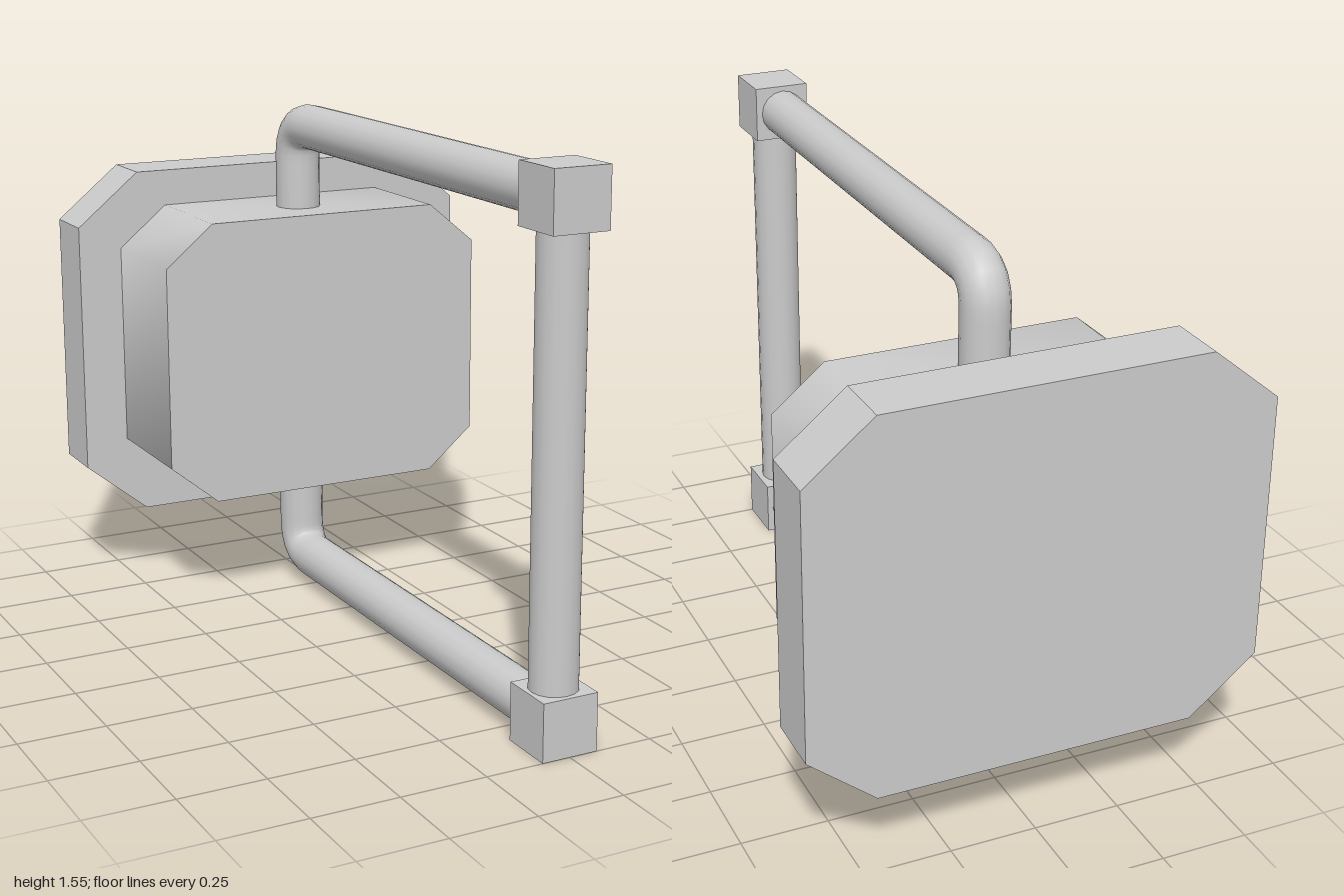
import * as THREE from 'three';
import { toCreasedNormals } from 'three/addons/utils/BufferGeometryUtils.js';

const MID_Y = 0.775;   // height of the mounting plates' centre
const ROD_R = 0.068;
const ROD_Z = 0.918;   // depth of the upright grip
const STEM_Z = -0.62;  // depth of the short stems entering the block

export function createModel() {
  const model = new THREE.Group();
  const material = new THREE.MeshStandardMaterial({ color: 0xcccccc });

  function add(name, geometry, x = 0, y = 0, z = 0) {
    const mesh = new THREE.Mesh(geometry, material);
    mesh.name = name;
    mesh.position.set(x, y, z);
    model.add(mesh);
    return mesh;
  }

  // Rectangle with cut corners, extruded along z
  function octagonSlab(w, h, cutX, cutY, depth) {
    const points = [
      [w, -h + cutY], [w, h - cutY], [w - cutX, h], [-w + cutX, h],
      [-w, h - cutY], [-w, -h + cutY], [-w + cutX, -h], [w - cutX, -h],
    ].map(([x, y]) => new THREE.Vector2(x, y));
    return new THREE.ExtrudeGeometry(new THREE.Shape(points), { depth, bevelEnabled: false });
  }

  // Back plate is faceted; the block in front of it has softened sides
  add('backPlate', octagonSlab(0.655, 0.545, 0.195, 0.16, 0.18), 0, MID_Y, -1);
  const block = octagonSlab(0.52, 0.433, 0.15, 0.125, 0.38);
  add('mountingBlock', toCreasedNormals(block, THREE.MathUtils.degToRad(55)), 0, MID_Y + 0.002, -0.82);

  // Upright grip between the corner cubes
  add('uprightRod', new THREE.CylinderGeometry(ROD_R, ROD_R, 1.3, 16), -0.003, MID_Y, ROD_Z);

  // Upper and lower arms, each bent towards the block
  for (const [side, label] of [[1, 'upper'], [-1, 'lower']]) {
    const at = (dy, z) => new THREE.Vector3(-0.003, MID_Y + side * dy, z);
    const armY = 0.692;
    const bend = 0.1;
    const path = new THREE.CurvePath();
    path.add(new THREE.LineCurve3(at(armY, 0.9), at(armY, STEM_Z + bend)));
    path.add(new THREE.QuadraticBezierCurve3(
      at(armY, STEM_Z + bend), at(armY, STEM_Z), at(armY - bend, STEM_Z)));
    path.add(new THREE.LineCurve3(at(armY - bend, STEM_Z), at(0.38, STEM_Z)));
    add(label + 'Arm', new THREE.TubeGeometry(path, 56, ROD_R, 16));
    add(label + 'CornerCube', new THREE.BoxGeometry(0.166, 0.166, 0.166), 0, MID_Y + side * 0.692, 0.917);
  }

  return model;
}
